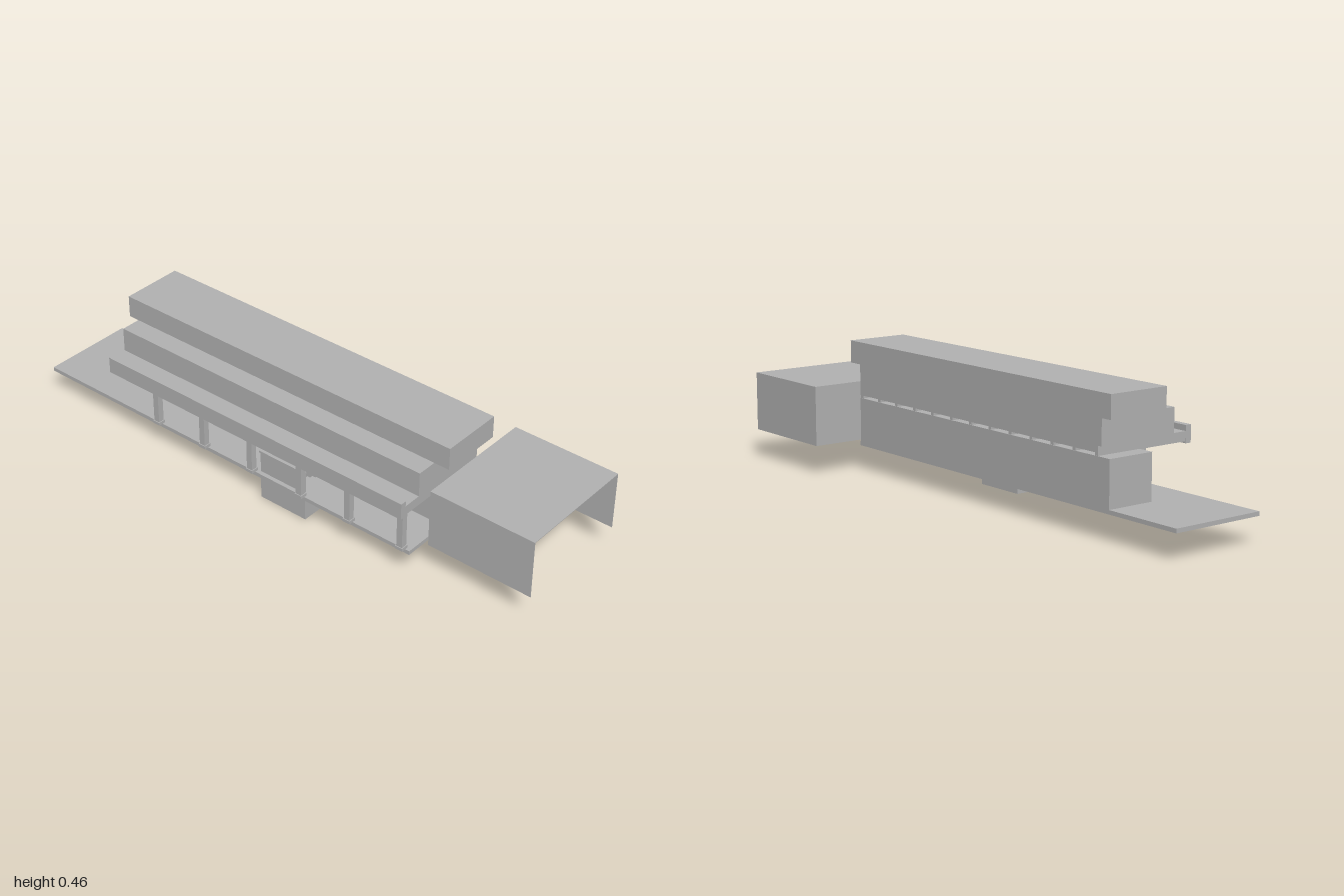
import * as THREE from 'three';

const concrete = new THREE.MeshStandardMaterial({ color: 0xb2b2b2, side: THREE.DoubleSide });
concrete.name = 'concrete grey';

// Box between two corners
function box(parent, name, x0, x1, y0, y1, z0, z1) {
  const m = new THREE.Mesh(new THREE.BoxGeometry(x1 - x0, y1 - y0, z1 - z0), concrete);
  m.position.set((x0 + x1) / 2, (y0 + y1) / 2, (z0 + z1) / 2);
  m.name = name;
  parent.add(m);
  return m;
}

function group(parent, name) {
  const g = new THREE.Group();
  g.name = name;
  parent.add(g);
  return g;
}

// Platform slab with a rectangular stairwell opening
function platform(parent) {
  const s = new THREE.Shape();
  s.moveTo(-0.233, -0.59);
  s.lineTo(0.107, -0.59);
  s.lineTo(0.107, 1);
  s.lineTo(-0.233, 1);
  const h = new THREE.Path();
  h.moveTo(-0.214, -0.151);
  h.lineTo(-0.214, 0.031);
  h.lineTo(-0.097, 0.031);
  h.lineTo(-0.097, -0.151);
  s.holes.push(h);
  const geo = new THREE.ExtrudeGeometry(s, { depth: 0.014, bevelEnabled: false });
  geo.rotateX(-Math.PI / 2);
  const m = new THREE.Mesh(geo, concrete);
  m.position.y = 0.09;
  m.name = 'platform';
  parent.add(m);
}

// Column with base and capital
function column(parent, z) {
  const c = group(parent, 'column');
  const x = -0.235;
  box(c, 'columnShaft', x - 0.011, x + 0.011, 0.114, 0.248, z - 0.011, z + 0.011);
  box(c, 'columnBase', x - 0.014, x + 0.014, 0.104, 0.115, z - 0.014, z + 0.014);
  box(c, 'columnCapital', x - 0.014, x + 0.014, 0.248, 0.258, z - 0.014, z + 0.014);
  box(c, 'columnBracket', x - 0.014, x + 0.014, 0.229, 0.231, z - 0.002, z + 0.002);
}

// Sunken stair with walls below the platform and a capped parapet above it
function stairs(parent) {
  const g = group(parent, 'stairs');
  const x0 = -0.218, x1 = -0.093, z0 = -0.035, z1 = 0.155, t = 0.004;
  for (const [y0, y1, name] of [[0, 0.09, 'stairWall'], [0.104, 0.18, 'stairParapet']]) {
    box(g, name, x0, x0 + t, y0, y1, z0, z1);
    box(g, name, x1 - t, x1, y0, y1, z0, z1);
    box(g, name, x0, x1, y0, y1, z0, z0 + t);
  }
  box(g, 'stairEndWall', x0, x1, 0, 0.09, z1 - t, z1);
  box(g, 'parapetCap', x0 - 0.004, x0 + 0.008, 0.18, 0.187, z0 - 0.004, z1);
  box(g, 'parapetCap', x1 - 0.008, x1 + 0.004, 0.18, 0.187, z0 - 0.004, z1);
  box(g, 'parapetCap', x0 + 0.008, x1 - 0.008, 0.18, 0.187, z0 - 0.004, z0 + 0.008);
  const n = 8, run = (z1 - z0 - 2 * t) / n;
  for (let i = 0; i < n; i++) {
    const top = 0.012 * (i + 1), z = z0 + t + i * run;
    box(g, 'step', x0 + t, x1 - t, top - 0.012, top, z, z + run);
  }
}

// Sign board hung from two rods
function sign(parent, z) {
  const g = group(parent, 'hangingSign');
  box(g, 'signBoard', -0.212, -0.1, 0.205, 0.236, z - 0.004, z + 0.004);
  for (const x of [-0.203, -0.109]) box(g, 'signRod', x - 0.001, x + 0.001, 0.236, 0.268, z - 0.001, z + 0.001);
}

// Entrance tunnel: top, two sides and a rear wall, open at the front and below
function tunnel(parent) {
  const g = group(parent, 'tunnel');
  const t = 0.002;
  box(g, 'tunnelTop', -0.17, 0.275, 0.312 - t, 0.312, 0.615, 1);
  box(g, 'tunnelSide', -0.17, -0.17 + t, 0.104, 0.312, 0.615, 1);
  box(g, 'tunnelSide', 0.275 - t, 0.275, 0.104, 0.312, 0.615, 1);
  box(g, 'tunnelRear', -0.17, 0.275, 0.104, 0.312, 0.615, 0.615 + t);
}

export function createModel() {
  const model = new THREE.Group();
  model.name = 'station';

  platform(model);
  box(model, 'groundFloor', -0.065, 0.107, 0.104, 0.259, -0.712, 0.587);

  // Canopy with raised outer edge, carried by cross beams
  const canopy = group(model, 'canopy');
  box(canopy, 'canopySlab', -0.256, 0.107, 0.269, 0.291, -0.66, 0.587);
  box(canopy, 'canopyEdge', -0.277, -0.255, 0.252, 0.31, -0.66, 0.587);
  for (let i = 0; i < 13; i++) {
    const z = -0.65 + i * 0.1025;
    box(canopy, 'crossBeam', -0.255, 0.105, 0.258, 0.269, z - 0.007, z + 0.007);
  }

  // Stepped upper storeys
  box(model, 'upperFloor', -0.19, 0.107, 0.291, 0.377, -0.675, 0.587);
  box(model, 'roofBlock', -0.118, 0.107, 0.377, 0.455, -0.715, 0.643);

  for (const z of [-0.48, -0.27, -0.06, 0.15, 0.35, 0.56]) column(model, z);
  for (const z of [-0.4, 0.4]) sign(model, z);
  stairs(model);
  tunnel(model);
  return model;
}
